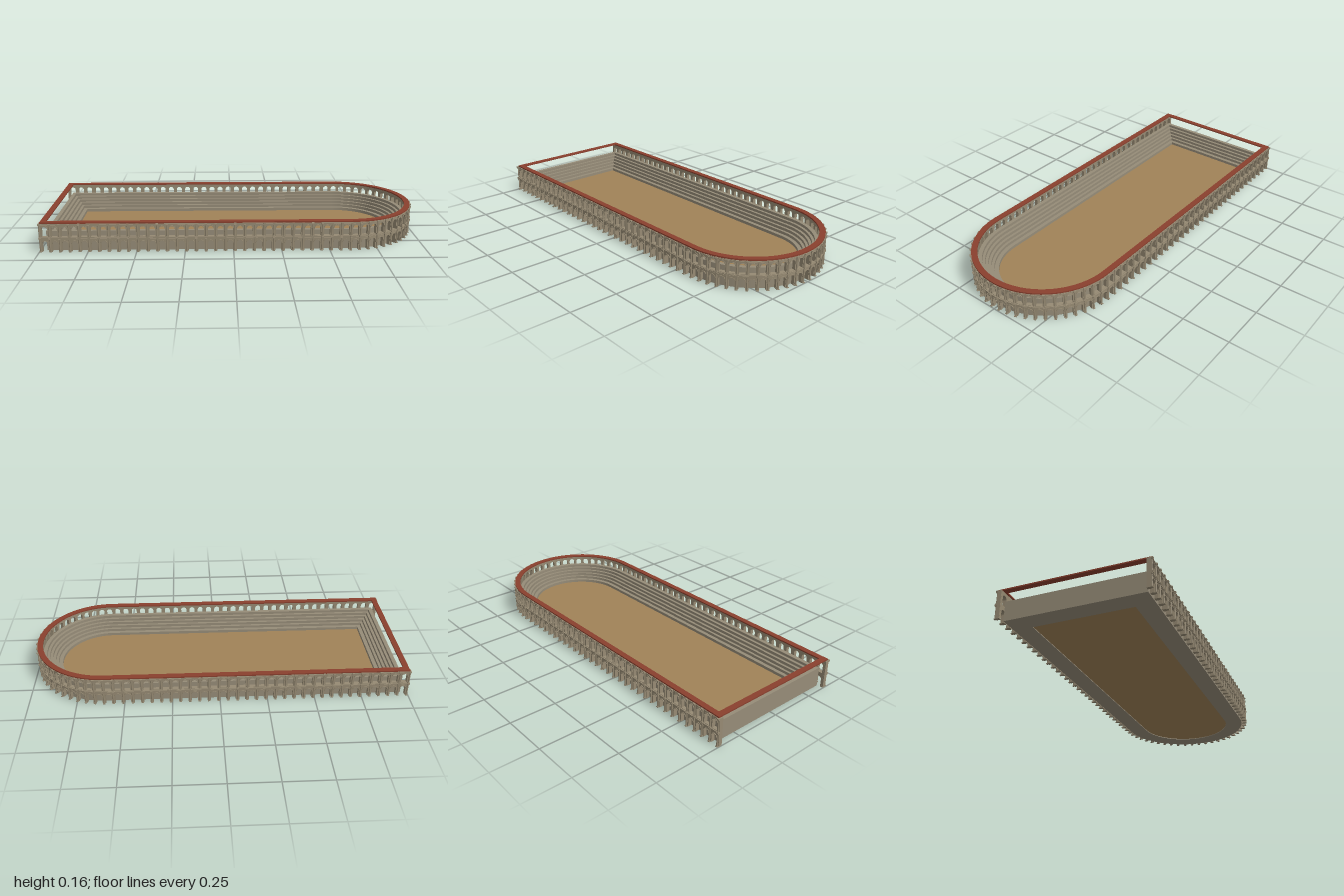
import * as THREE from 'three';
import { mergeGeometries, toCreasedNormals } from 'three/addons/utils/BufferGeometryUtils.js';

const CX = 0.607;          // centre of the rounded end
const WALL = 0.382;        // offset of the outer wall face from the centre line
const START = -0.992;      // first pier of the arcade
const SIDE_BAYS = 32, CURVE_BAYS = 25;

const stone = new THREE.MeshStandardMaterial({ color: 0x968a73 });
const seat = new THREE.MeshStandardMaterial({ color: 0x968c78 });
const tile = new THREE.MeshStandardMaterial({ color: 0x8a402e });
const sand = new THREE.MeshStandardMaterial({ color: 0xa08258 });

// Plan outline: square at -x, half round at +x
function plan(path, off) {
  path.moveTo(-CX - off, -off);
  path.lineTo(CX, -off);
  path.absarc(CX, 0, off, -Math.PI / 2, Math.PI / 2, false);
  path.lineTo(-CX - off, off);
  path.closePath();
  return path;
}

// Flat slab or ring following the plan
function slab(outer, inner, y0, y1) {
  const shape = plan(new THREE.Shape(), outer);
  if (inner) shape.holes.push(plan(new THREE.Path(), inner));
  const g = new THREE.ExtrudeGeometry(shape, { depth: y1 - y0, bevelEnabled: false, curveSegments: 50 });
  g.rotateX(-Math.PI / 2).translate(0, y0, 0);
  return toCreasedNormals(g, 0.3);
}

// Place on the arcade line: t counts bays from the front corner round to the back corner
function station(t) {
  const len = CX - START;
  let x = CX, angle = 0;
  if (t < SIDE_BAYS) x = START + len * t / SIDE_BAYS;
  else if (t <= SIDE_BAYS + CURVE_BAYS) angle = Math.PI * (t - SIDE_BAYS) / CURVE_BAYS;
  else {
    angle = Math.PI;
    x = CX - len * (t - SIDE_BAYS - CURVE_BAYS) / SIDE_BAYS;
  }
  return new THREE.Matrix4().makeRotationY(angle)
    .setPosition(x + WALL * Math.sin(angle), 0, WALL * Math.cos(angle));
}

function box(w, h, d, y, z) {
  return new THREE.BoxGeometry(w, h, d).toNonIndexed().translate(0, y, z);
}

function extrude(shape, depth, z) {
  return new THREE.ExtrudeGeometry(shape, { depth, bevelEnabled: false, curveSegments: 10 }).translate(0, 0, z);
}

// One bay of wall with an open arch below and a window arch above
function bayWall(w) {
  const r = 0.0155, spring = 0.042, s = new THREE.Shape();
  s.moveTo(-w / 2, 0);
  s.lineTo(-r, 0);
  s.lineTo(-r, spring);
  s.absarc(0, spring, r, Math.PI, 0, true);
  s.lineTo(r, 0);
  s.lineTo(w / 2, 0);
  s.lineTo(w / 2, 0.152);
  s.lineTo(-w / 2, 0.152);
  s.closePath();
  const h = new THREE.Path();
  h.moveTo(-r, 0.08);
  h.lineTo(r, 0.08);
  h.lineTo(r, 0.12);
  h.absarc(0, 0.12, r, 0, Math.PI, false);
  h.closePath();
  s.holes.push(h);
  return extrude(s, 0.02, -0.02);
}

// Raised band round an arch
function archBand(y) {
  const s = new THREE.Shape();
  s.absarc(0, y, 0.0185, 0, Math.PI, false);
  s.absarc(0, y, 0.0155, Math.PI, 0, true);
  s.closePath();
  return extrude(s, 0.003, 0);
}

// Ledges between the storeys and under the roof
function bayLedges(w) {
  return mergeGeometries([
    box(w, 0.005, 0.008, 0.0755, 0.002),
    box(w, 0.003, 0.005, 0.069, 0.001),
    box(w, 0.004, 0.007, 0.15, 0.002),
    box(w, 0.003, 0.005, 0.144, 0.001),
  ]);
}

// Half column with base, capital and block for one storey
function halfColumn(y0, y1) {
  const h = y1 - y0;
  const shaft = new THREE.CylinderGeometry(0.0036, 0.0042, h, 8).toNonIndexed();
  return [
    shaft.translate(0, y0 + h / 2, 0.003),
    box(0.012, 0.004, 0.01, y0 + 0.002, 0.004),
    box(0.012, 0.004, 0.01, y1 - 0.008, 0.004),
    box(0.013, 0.005, 0.012, y1 - 0.002, 0.005),
  ];
}

function pier() {
  return mergeGeometries([
    box(0.012, 0.152, 0.02, 0.076, -0.0095),
    ...halfColumn(0, 0.0775), ...halfColumn(0.0785, 0.152),
  ]);
}

export function createModel() {
  const model = new THREE.Group();
  const add = (name, geometry, material, parent = model) => {
    const mesh = new THREE.Mesh(geometry, material);
    mesh.name = name;
    parent.add(mesh);
  };

  add('arenaFloor', slab(0.262, 0, 0.004, 0.014), sand);

  // Stepped seating, rising outwards
  const seating = new THREE.Group();
  seating.name = 'seating';
  const edges = [0.26, 0.281, 0.295, 0.309, 0.323, 0.337, 0.358];
  for (let i = 0; i < 6; i++) {
    add('seatRow' + (i + 1), slab(edges[i + 1], edges[i], 0, 0.03 + i * 0.015), seat, seating);
  }
  model.add(seating);

  // Two-storey arcade along both sides and round the curve
  const sideW = (CX - START) / SIDE_BAYS;
  const curveW = 2 * WALL * Math.sin(Math.PI / CURVE_BAYS / 2);
  const total = 2 * SIDE_BAYS + CURVE_BAYS;
  const walls = [], bands = [], ledges = [], piers = [];
  for (let i = 0; i <= total; i++) {
    piers.push(pier().applyMatrix4(station(i)));
    if (i === total) break;
    const curved = i >= SIDE_BAYS && i < SIDE_BAYS + CURVE_BAYS;
    const w = curved ? curveW : sideW;
    const m = station(i + 0.5);
    if (curved) m.multiply(new THREE.Matrix4().makeTranslation(0, 0, -WALL * (1 - Math.cos(Math.PI / CURVE_BAYS / 2))));
    walls.push(bayWall(w).applyMatrix4(m));
    ledges.push(bayLedges(w).applyMatrix4(m));
    for (const y of [0.042, 0.12]) bands.push(archBand(y).applyMatrix4(m));
  }
  const arcade = new THREE.Group();
  arcade.name = 'arcade';
  add('arcadeWall', mergeGeometries(walls), stone, arcade);
  add('archBands', mergeGeometries(bands), stone, arcade);
  add('ledges', mergeGeometries(ledges), stone, arcade);
  add('piers', mergeGeometries(piers), stone, arcade);
  model.add(arcade);

  // Tiled roof ring, spanning the open square end
  add('roof', slab(0.384, 0.354, 0.152, 0.159), tile);
  return model;
}
